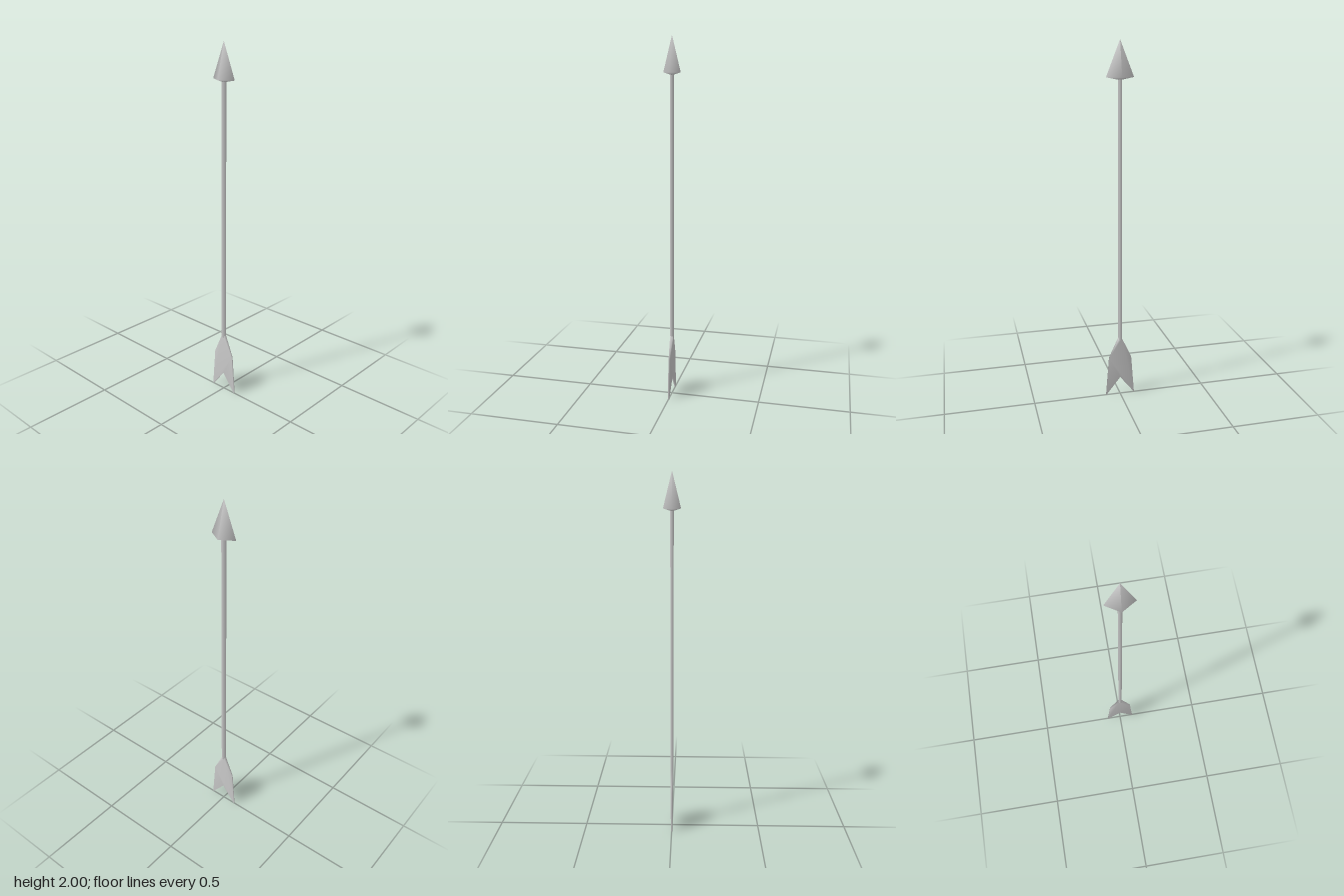
import * as THREE from 'three';
import { mergeVertices } from 'three/addons/utils/BufferGeometryUtils.js';

const material = new THREE.MeshStandardMaterial({ color: 0xcccccc });

function part(name, geometry) {
  const mesh = new THREE.Mesh(geometry, material);
  mesh.name = name;
  return mesh;
}

// Four-sided pointed head with a shallow, bulging underside
function headGeometry() {
  const profile = [[0, 1.795], [1, 1.81], [0, 2]].map(([r, y]) => new THREE.Vector2(r, y));
  return new THREE.LatheGeometry(profile, 4).scale(0.075, 1, 0.047);
}

// Square shaft with softened shading
function shaftGeometry() {
  const bottom = 0.34, top = 1.81;
  return new THREE.CylinderGeometry(0.0127, 0.0127, top - bottom, 4, 1)
    .rotateY(Math.PI / 4)
    .translate(0, (top + bottom) / 2, 0);
}

// Swallow-tailed vane, thick where it meets the shaft and thin below
function vaneGeometry() {
  const half = [[0.009, 0.35], [0.065, 0.23], [0.083, 0]];
  const mirrored = half.map(([x, y]) => [-x, y]).reverse();
  const outline = [...half, [0, 0.105], ...mirrored].map(([x, y]) => new THREE.Vector2(x, y));
  const thin = 0.0045;
  let geometry = new THREE.ExtrudeGeometry(new THREE.Shape(outline), {
    depth: 2 * thin, bevelEnabled: false,
  }).translate(0, 0, -thin);
  const p = geometry.attributes.position;
  for (let i = 0; i < p.count; i++) {
    if (p.getY(i) > 0.3) p.setZ(i, p.getZ(i) * 2);
  }
  // Share the corners so the shading runs smoothly over the vane
  geometry.deleteAttribute('normal');
  geometry.deleteAttribute('uv');
  geometry = mergeVertices(geometry);
  geometry.computeVertexNormals();
  return geometry;
}

export function createModel() {
  const arrow = new THREE.Group();
  arrow.name = 'arrow';
  arrow.add(
    part('arrowHead', headGeometry()),
    part('shaft', shaftGeometry()),
    part('fletching', vaneGeometry()),
  );
  return arrow;
}
